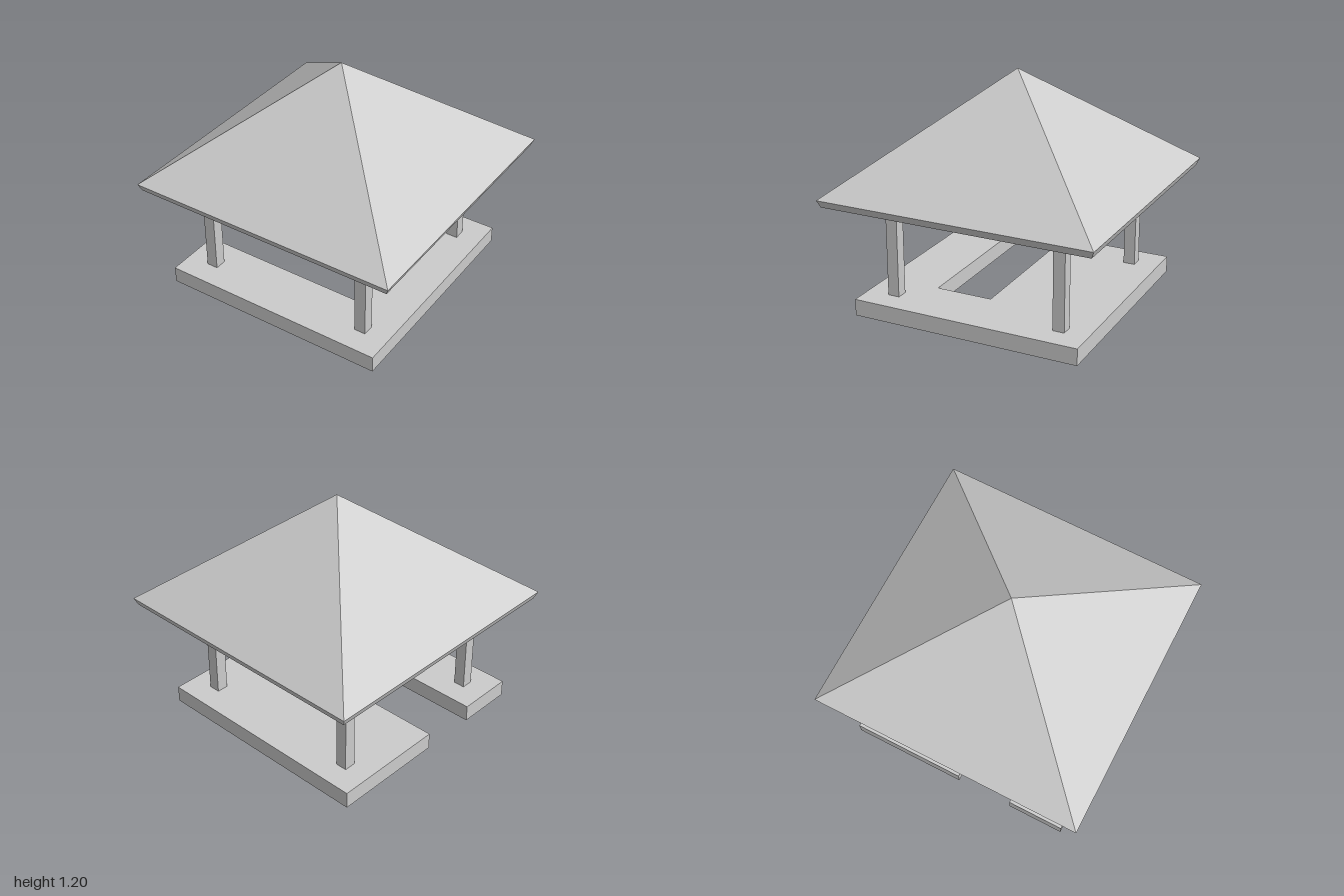
import * as THREE from 'three';

const BASE_TOP = 0.087, POST_TOP = 0.71;

export function createModel() {
  const model = new THREE.Group();
  model.name = 'pavilion';
  const material = new THREE.MeshStandardMaterial({ color: 0xcccccc, flatShading: true });
  const add = (parent, name, geometry) => {
    const mesh = new THREE.Mesh(geometry, material);
    mesh.name = name;
    parent.add(mesh);
    return mesh;
  };

  // The whole pavilion stands turned on its plot
  const pavilion = new THREE.Group();
  pavilion.name = 'turnedPavilion';
  pavilion.rotation.y = THREE.MathUtils.degToRad(35.6);
  model.add(pavilion);

  // Base and posts sit slightly off the roof's centre
  const lower = new THREE.Group();
  lower.name = 'baseAndPosts';
  lower.position.set(-0.0104, 0, -0.0198);
  pavilion.add(lower);

  // Square floor slab with a slot open to the rear edge
  const h = 0.602, q = h / 2;
  const outline = [[-h, -h], [-q, -h], [-q, q], [0, q], [0, -h], [h, -h], [h, h], [-h, h]];
  const floor = new THREE.ExtrudeGeometry(
    new THREE.Shape(outline.map(([x, z]) => new THREE.Vector2(x, z))),
    { depth: BASE_TOP, bevelEnabled: false }
  );
  floor.rotateX(Math.PI / 2).translate(0, BASE_TOP, 0);
  add(lower, 'floorSlab', floor);

  // Four square corner posts
  const postHeight = POST_TOP - BASE_TOP;
  const post = new THREE.BoxGeometry(0.061, postHeight, 0.061);
  for (const sx of [-1, 1]) {
    for (const sz of [-1, 1]) {
      add(lower, 'cornerPost', post)
        .position.set(sx * 0.452, BASE_TOP + postHeight / 2, sz * 0.452);
    }
  }

  // Hollow pyramid roof: inner slope, eave edge, outer slope
  const profile = [[0, 1.145], [0.992, 0.6], [1.0135, 0.637], [0, 1.204]];
  const roof = add(pavilion, 'roof',
    new THREE.LatheGeometry(profile.map(([r, y]) => new THREE.Vector2(r, y)), 4));
  roof.rotation.y = -Math.PI / 4;

  return model;
}
